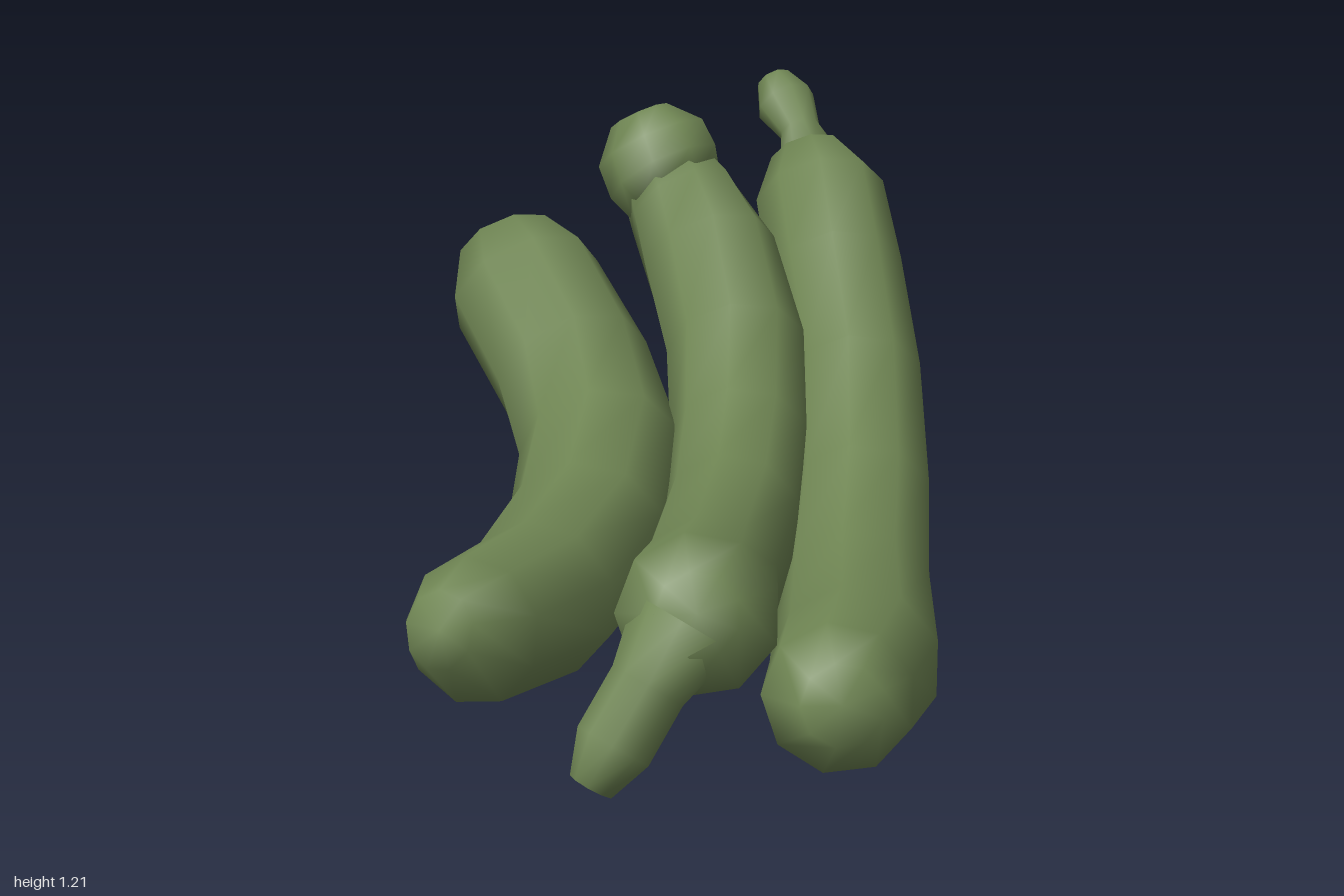
import * as THREE from 'three';

const SIDES = 9;

// Smooth-shaded tube through rings of [x, y, z, radius], closed at both ends
function loft(rings) {
  const centres = rings.map(([x, y, z]) => new THREE.Vector3(x, y, z));
  const positions = [];
  const index = [];
  const last = rings.length - 1;
  const up = new THREE.Vector3(0, 1, 0);
  rings.forEach(([, , , r], i) => {
    const dir = centres[Math.min(i + 1, last)].clone().sub(centres[Math.max(i - 1, 0)]).normalize();
    const side = new THREE.Vector3().crossVectors(up, dir).normalize();
    const top = new THREE.Vector3().crossVectors(dir, side);
    for (let k = 0; k < SIDES; k++) {
      const a = (k / SIDES) * Math.PI * 2;
      const p = centres[i].clone().addScaledVector(side, r * Math.cos(a)).addScaledVector(top, r * Math.sin(a));
      positions.push(p.x, p.y, p.z);
    }
  });
  for (let i = 0; i < last; i++) {
    for (let k = 0; k < SIDES; k++) {
      const n = (k + 1) % SIDES;
      const a = i * SIDES + k, b = i * SIDES + n;
      index.push(a, b, b + SIDES, a, b + SIDES, a + SIDES);
    }
  }
  // End fans
  const start = positions.length / 3;
  positions.push(...centres[0].toArray(), ...centres[last].toArray());
  for (let k = 0; k < SIDES; k++) {
    const n = (k + 1) % SIDES;
    index.push(start, n, k, start + 1, last * SIDES + k, last * SIDES + n);
  }
  const geometry = new THREE.BufferGeometry();
  geometry.setAttribute('position', new THREE.Float32BufferAttribute(positions, 3));
  geometry.setIndex(index);
  geometry.computeVertexNormals();
  return geometry;
}

export function createModel() {
  const group = new THREE.Group();
  const green = new THREE.MeshStandardMaterial({ color: 0x6f8553 });
  green.name = 'podGreen';

  const parts = {
    // Front pod with a thin stem at its raised end
    frontPod: [
      [-0.34, 0.24, 0.91, 0.09], [-0.29, 0.22, 0.84, 0.165], [-0.08, 0.185, 0.66, 0.19],
      [0.15, 0.22, 0.4, 0.18], [0.38, 0.35, 0.16, 0.172], [0.59, 0.545, -0.1, 0.168],
      [0.74, 0.745, -0.35, 0.175], [0.84, 0.905, -0.53, 0.172], [0.87, 1, -0.62, 0.1],
    ],
    frontPodStem: [
      [0.86, 0.98, -0.59, 0.09], [0.88, 1.06, -0.66, 0.055],
      [0.89, 1.12, -0.73, 0.08], [0.9, 1.17, -0.79, 0.05],
    ],
    // Middle pod with a rounded knob above and a drooping stem below
    middlePod: [
      [-0.59, 0.45, 0.74, 0.09], [-0.54, 0.42, 0.68, 0.175], [-0.32, 0.36, 0.44, 0.16],
      [0, 0.37, 0.13, 0.165], [0.2, 0.47, -0.08, 0.17], [0.35, 0.63, -0.28, 0.175],
      [0.44, 0.81, -0.5, 0.175], [0.46, 0.92, -0.63, 0.15], [0.46, 0.97, -0.69, 0.13],
    ],
    middlePodKnob: [
      [0.46, 0.93, -0.65, 0.13], [0.455, 0.99, -0.7, 0.155],
      [0.45, 1.06, -0.75, 0.15], [0.44, 1.13, -0.79, 0.08],
    ],
    middlePodStem: [
      [-0.56, 0.4, 0.66, 0.12], [-0.65, 0.28, 0.65, 0.085],
      [-0.74, 0.17, 0.65, 0.085], [-0.79, 0.09, 0.64, 0.05],
    ],
    // Rear pod with plain rounded ends
    rearPod: [
      [-0.96, 0.385, 0.345, 0.085], [-0.85, 0.345, 0.305, 0.16], [-0.56, 0.3, 0.14, 0.182],
      [-0.27, 0.33, -0.07, 0.195], [-0.05, 0.43, -0.31, 0.2], [0.04, 0.57, -0.55, 0.2],
      [0.07, 0.73, -0.79, 0.2], [0.09, 0.82, -0.89, 0.135],
    ],
  };
  for (const [name, rings] of Object.entries(parts)) {
    const mesh = new THREE.Mesh(loft(rings), green);
    mesh.name = name;
    group.add(mesh);
  }
  return group;
}
